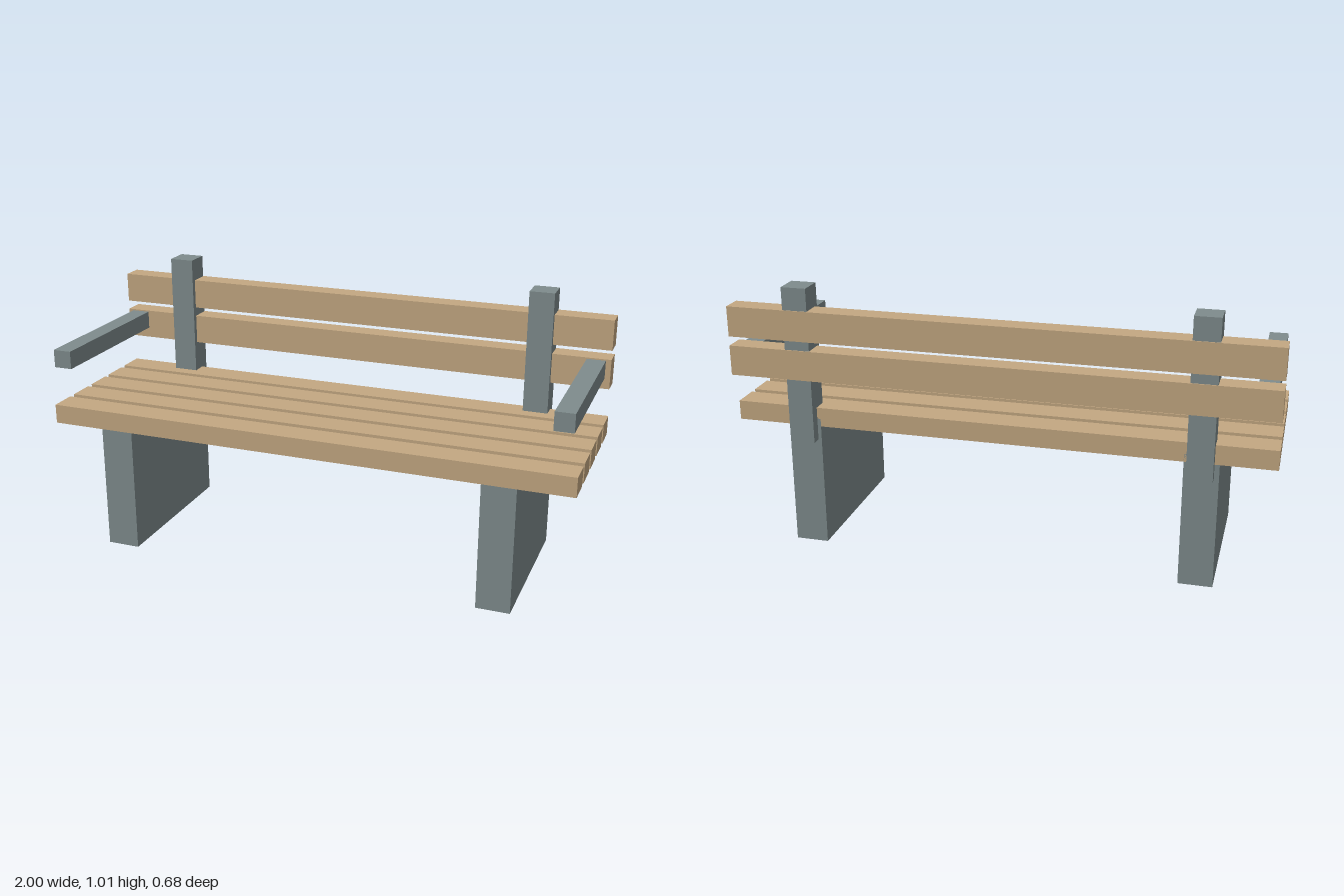
import * as THREE from 'three';

export function createModel() {
  const bench = new THREE.Group();
  bench.name = 'bench';

  const wood = new THREE.MeshStandardMaterial({ color: 0xc4a882 });
  wood.name = 'wood';
  const stone = new THREE.MeshStandardMaterial({ color: 0x7f8c8d });
  stone.name = 'greyStone';

  // Box given by its extents along each axis
  function addBox(name, material, [x0, x1], [y0, y1], [z0, z1]) {
    const mesh = new THREE.Mesh(new THREE.BoxGeometry(x1 - x0, y1 - y0, z1 - z0), material);
    mesh.position.set((x0 + x1) / 2, (y0 + y1) / 2, (z0 + z1) / 2);
    mesh.name = name;
    bench.add(mesh);
  }

  // Five seat slats, front to back
  const slatDepth = 0.104, slatPitch = 0.1315;
  for (let i = 0; i < 5; i++) {
    const front = 0.331 - i * slatPitch;
    addBox('seatSlat' + (i + 1), wood, [-1, 1], [0.475, 0.548], [front - slatDepth, front]);
  }

  // Two backrest slats
  addBox('lowerBackSlat', wood, [-1, 1], [0.665, 0.778], [-0.341, -0.262]);
  addBox('upperBackSlat', wood, [-1, 1], [0.813, 0.927], [-0.341, -0.262]);

  // Leg slab, back post and armrest on each side
  for (const [side, s] of [['left', 1], ['right', -1]]) {
    const span = (a, b) => (s > 0 ? [a, b] : [-b, -a]);
    addBox(side + 'Leg', stone, span(0.675, 0.8), [0, 0.505], [-0.299, 0.33]);
    addBox(side + 'BackPost', stone, span(0.688, 0.782), [0.422, 1.012], [-0.337, -0.243]);
    addBox(side + 'Armrest', stone, span(0.91, 0.98), [0.705, 0.773], [-0.27, 0.342]);
  }

  return bench;
}
